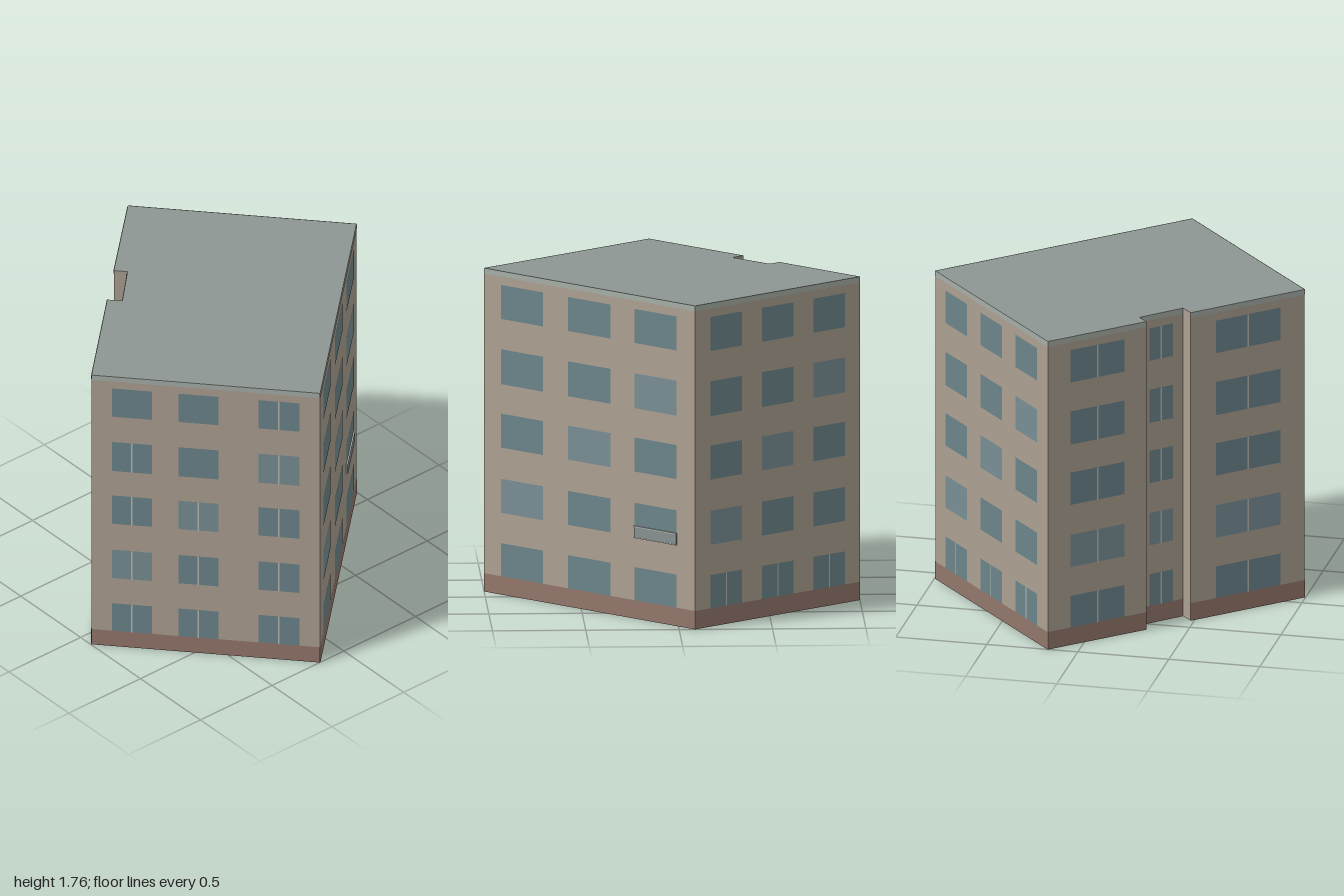
import * as THREE from 'three';

const HEIGHT = 1.76, PLINTH = 0.1, BAND = 0.03;
const ROWS = [[0.1, 0.28], [0.445, 0.63], [0.8, 0.985], [1.145, 1.335], [1.5, 1.685]];

const material = (color) => new THREE.MeshStandardMaterial({ color, side: THREE.DoubleSide, roughness: 1 });

// Footprint corners [x, z], running left to right as each wall is seen from outside
const CORNERS = [
  [-0.165, 1], [0.995, -0.085], [0.165, -1],
  [-0.28, -0.585], [-0.23, -0.53], [-0.425, -0.34], [-0.48, -0.4],
  [-0.995, 0.085],
];

// Per wall: window spans as fractions of its length, and which windows have a centre mullion
const FACADES = [
  { name: 'front', spans: [[0.082, 0.28], [0.4, 0.6], [0.715, 0.914]], mullion: () => false, railing: true },
  { name: 'right', spans: [[0.093, 0.284], [0.404, 0.596], [0.716, 0.907]], mullion: (r) => r === 0 },
  { name: 'backA', spans: [[0.228, 0.777]], mullion: () => true },
  { name: 'recessSideA', spans: [], plain: true },
  { name: 'recessBack', spans: [[0.22, 0.76]], mullion: () => true },
  { name: 'recessSideB', spans: [], plain: true },
  { name: 'backB', spans: [[0.222, 0.785]], mullion: () => true },
  { name: 'left', spans: [[0.09, 0.265], [0.38, 0.555], [0.73, 0.91]],
    mullion: (r, c) => c === 2 || r < 3 || (r === 3 && c === 0) },
];

export function createModel() {
  const model = new THREE.Group();
  model.name = 'apartmentBlock';
  const mats = {
    wall: material(0xab9f90), plinth: material(0x92766a), band: material(0xa5ada6),
    roof: material(0x8d9692), glass: material(0x6b848a), paleGlass: material(0x788e95),
    trim: material(0xb9bab2), railing: material(0x87918f),
  };

  // Flat upright panel in wall coordinates, pushed out by z
  const panel = (parent, name, mat, x0, x1, y0, y1, z) => {
    const mesh = new THREE.Mesh(new THREE.PlaneGeometry(x1 - x0, y1 - y0), mat);
    mesh.position.set((x0 + x1) / 2, (y0 + y1) / 2, z);
    mesh.name = name;
    parent.add(mesh);
  };
  // Shallow block standing on the wall surface
  const block = (parent, name, mat, x0, x1, y0, y1, depth) => {
    const mesh = new THREE.Mesh(new THREE.BoxGeometry(x1 - x0, y1 - y0, depth), mat);
    mesh.position.set((x0 + x1) / 2, (y0 + y1) / 2, depth / 2);
    mesh.name = name;
    parent.add(mesh);
  };

  FACADES.forEach((facade, i) => {
    const [ax, az] = CORNERS[i];
    const [bx, bz] = CORNERS[(i + 1) % CORNERS.length];
    const length = Math.hypot(bx - ax, bz - az);
    const side = new THREE.Group();
    side.name = facade.name + 'Facade';
    side.position.set(ax, 0, az);
    side.rotation.y = Math.atan2(az - bz, bx - ax);
    model.add(side);

    panel(side, 'wall', mats.wall, 0, length, 0, HEIGHT, 0);
    if (!facade.plain) {
      panel(side, 'plinth', mats.plinth, 0, length, 0, PLINTH, 0.002);
      panel(side, 'roofBand', mats.band, 0, length, HEIGHT - BAND, HEIGHT, 0.002);
    }

    // Windows, storey by storey
    facade.spans.forEach(([f0, f1], col) => {
      const x0 = f0 * length, x1 = f1 * length, mid = (x0 + x1) / 2;
      ROWS.forEach(([y0, y1], row) => {
        const pale = row === col + 1;
        panel(side, 'window', pale ? mats.paleGlass : mats.glass, x0, x1, y0, y1, 0.002);
        if (facade.mullion(row, col)) panel(side, 'mullion', mats.trim, mid - 0.004, mid + 0.004, y0, y1, 0.004);
      });
    });

    // Low balcony railing on one second-storey window
    if (facade.railing) {
      const [f0, f1] = facade.spans[2];
      const x0 = f0 * length, x1 = f1 * length, y = ROWS[1][0];
      block(side, 'balconyPanel', mats.railing, x0, x1, y, y + 0.055, 0.008);
      block(side, 'balconyRail', mats.trim, x0, x1, y + 0.055, y + 0.061, 0.01);
      block(side, 'balconySill', mats.trim, x0, x1, y - 0.005, y, 0.01);
    }
  });

  // Flat roof following the footprint; the underside of the block is open
  const outline = new THREE.Shape(CORNERS.map(([x, z]) => new THREE.Vector2(x, -z)));
  const roof = new THREE.Mesh(new THREE.ShapeGeometry(outline), mats.roof);
  roof.rotation.x = -Math.PI / 2;
  roof.position.y = HEIGHT;
  roof.name = 'roof';
  model.add(roof);

  return model;
}
